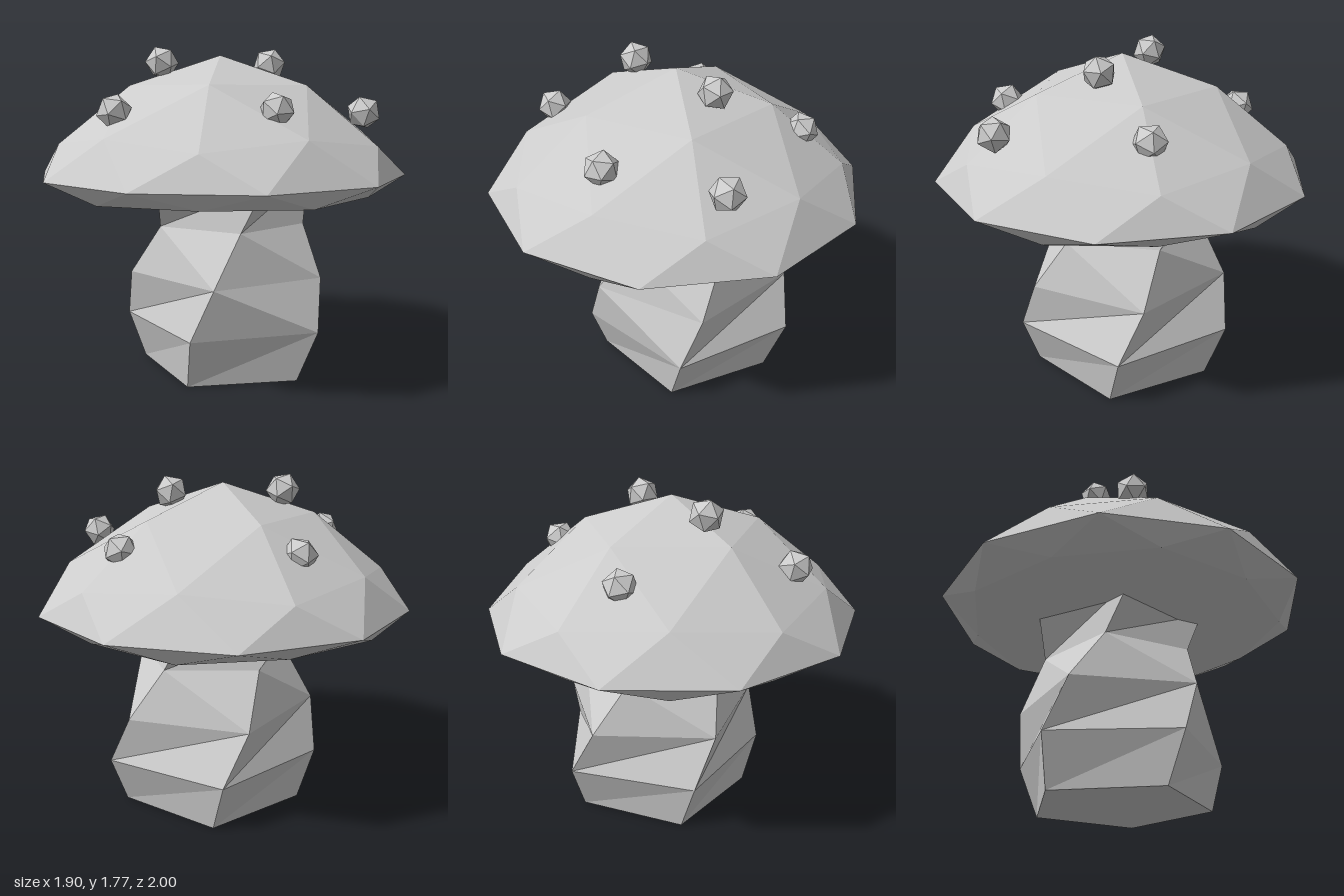
import * as THREE from 'three';

const grey = new THREE.MeshStandardMaterial({ color: 0xcccccc, flatShading: true });
grey.name = 'plainGrey';

// Icosahedron standing on one vertex, with an upper side vertex towards +x
function poleUpIco(radius, detail) {
  const g = new THREE.IcosahedronGeometry(radius, detail);
  g.rotateX(-Math.atan((1 + Math.sqrt(5)) / 2));
  g.rotateY(Math.PI / 2);
  return g;
}

// Cap: subdivided icosahedron whose levels are remapped to [sphere y, radius, y]
function capGeometry() {
  const levels = [
    [1, 0, 1.725], [0.851, 0.49, 1.565], [0.526, 0.82, 1.31], [0.447, 0.87, 1.26],
    [0, 1, 1.09],
    [-0.447, 0.87, 0.995], [-0.526, 0.83, 0.998], [-0.851, 0.49, 0.995], [-1, 0, 0.995],
  ];
  const g = poleUpIco(1, 1);
  const p = g.attributes.position;
  for (let i = 0; i < p.count; i++) {
    const x = p.getX(i), y = p.getY(i), z = p.getZ(i);
    const level = levels.reduce((a, b) => (Math.abs(b[0] - y) < Math.abs(a[0] - y) ? b : a));
    const k = level[1] / Math.max(Math.hypot(x, z), 1e-6);
    p.setXYZ(i, x * k, level[2], z * k);
  }
  g.computeVertexNormals();
  return g;
}

// Stem: twisted, leaning five-sided rings
function stemGeometry() {
  const sides = 5;
  // y, centre x, centre z, radius, twist in degrees
  const rings = [
    [0, 0.08, 0, 0.5, -2.5],
    [0.27, 0.09, 0, 0.59, 3],
    [0.54, 0.075, -0.005, 0.55, 16],
    [0.81, 0.073, 0, 0.415, 32],
    [1.06, 0.05, -0.02, 0.48, 50],
  ];
  const point = (r, i) => {
    const [y, cx, cz, radius, twist] = rings[r];
    const a = ((i % sides) * 2 * Math.PI) / sides + THREE.MathUtils.degToRad(twist);
    return [cx + radius * Math.sin(a), y, cz + radius * Math.cos(a)];
  };
  const out = [];
  const tri = (a, b, c) => out.push(...a, ...b, ...c);
  for (let r = 0; r < rings.length - 1; r++) {
    for (let i = 0; i < sides; i++) {
      const a = point(r, i), b = point(r, i + 1), c = point(r + 1, i + 1), d = point(r + 1, i);
      // the diagonal switches direction on the waist and on one lower panel
      if (r === 2 || (r === 1 && i === 4)) { tri(a, b, d); tri(b, c, d); }
      else { tri(a, b, c); tri(a, c, d); }
    }
  }
  // closed ends
  const top = rings.length - 1;
  for (let i = 1; i < sides - 1; i++) {
    tri(point(0, 0), point(0, i + 1), point(0, i));
    tri(point(top, 0), point(top, i), point(top, i + 1));
  }
  const g = new THREE.BufferGeometry();
  g.setAttribute('position', new THREE.Float32BufferAttribute(out, 3));
  g.computeVertexNormals();
  return g;
}

export function createModel() {
  const model = new THREE.Group();
  model.name = 'mushroom';
  const add = (geometry, name, parent = model) => {
    const mesh = new THREE.Mesh(geometry, grey);
    mesh.name = name;
    parent.add(mesh);
    return mesh;
  };

  add(stemGeometry(), 'stem');
  add(capGeometry(), 'cap');

  // Warts scattered on the cap, each tilted outward
  const warts = new THREE.Group();
  warts.name = 'warts';
  model.add(warts);
  const wartShape = poleUpIco(0.09, 0);
  const up = new THREE.Vector3(0, 1, 0);
  [
    [0.04, 1.43, -0.62], [-0.245, 1.685, -0.2], [-0.675, 1.435, -0.09], [0.645, 1.435, 0],
    [0.22, 1.675, 0.16], [-0.25, 1.445, 0.59], [0.345, 1.425, 0.69],
  ].forEach(([x, y, z], i) => {
    const wart = add(wartShape, `wart${i + 1}`, warts);
    wart.position.set(x, y, z);
    wart.quaternion.setFromUnitVectors(up, new THREE.Vector3(x, 0.7, z).normalize());
  });
  return model;
}
